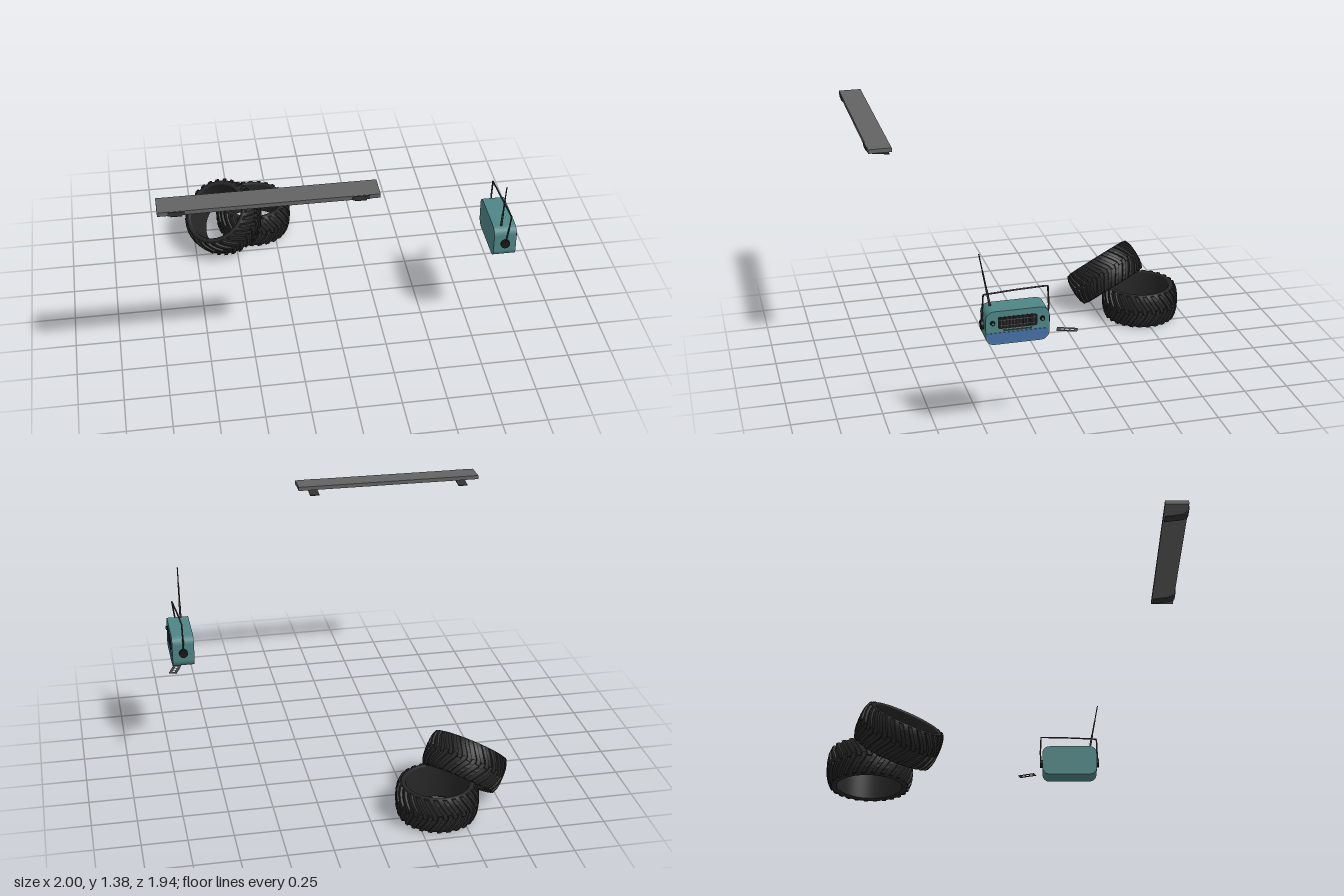
import * as THREE from 'three';
import { mergeGeometries } from 'three/addons/utils/BufferGeometryUtils.js';

const mat = (color, extra = {}) => new THREE.MeshStandardMaterial({ color, ...extra });
const rubber = mat(0x262626);
const lugRubber = mat(0x262626, { flatShading: true });
const grey = mat(0x636363);
const dark = mat(0x333333);
const black = mat(0x181818);
const teal = mat(0x4f8585);
const blue = mat(0x456fa8);

function add(parent, name, geometry, material, x = 0, y = 0, z = 0) {
  const mesh = new THREE.Mesh(geometry, material);
  mesh.name = name;
  mesh.position.set(x, y, z);
  parent.add(mesh);
  return mesh;
}

// Rectangle with its own radius for the top and the bottom corners
function roundedRect(w, h, top, bottom) {
  const s = new THREE.Shape();
  const x = w / 2, y = h / 2;
  s.moveTo(-x + bottom, -y);
  s.lineTo(x - bottom, -y);
  s.absarc(x - bottom, -y + bottom, bottom, -Math.PI / 2, 0);
  s.absarc(x - top, y - top, top, 0, Math.PI / 2);
  s.absarc(-x + top, y - top, top, Math.PI / 2, Math.PI);
  s.absarc(-x + bottom, -y + bottom, bottom, Math.PI, Math.PI * 1.5);
  return s;
}
const slab = (shape, depth) => new THREE.ExtrudeGeometry(shape, { depth, bevelEnabled: false, curveSegments: 8 });

// Outer tyre radius at height y: a gentle barrel with dropping shoulders
const tyreRadius = (y) => 0.218 - 0.018 * Math.pow(Math.abs(y) / 0.1, 3);

// One tread lug swept from y0 up to y1, slanting so that the two halves form a chevron
function lug(angle, y0, y1) {
  const steps = 4, pos = [], idx = [];
  for (let i = 0; i <= steps; i++) {
    const y = y0 + ((y1 - y0) * i) / steps;
    const a = angle - (Math.abs(y) / 0.1) * 0.3;
    const r = tyreRadius(y);
    for (const [da, dr] of [[-0.065, -0.006], [0.065, -0.006], [0.05, 0.012], [-0.05, 0.012]]) {
      pos.push(Math.sin(a + da) * (r + dr), y, Math.cos(a + da) * (r + dr));
    }
  }
  for (let i = 0; i < steps; i++) {
    for (let j = 0; j < 4; j++) {
      const a = i * 4 + j, b = i * 4 + ((j + 1) % 4);
      idx.push(a, a + 4, b, b, a + 4, b + 4);
    }
  }
  const e = steps * 4;
  idx.push(0, 1, 2, 0, 2, 3, e, e + 2, e + 1, e, e + 3, e + 2);
  // Corner order above runs inward, so flip every triangle
  for (let i = 0; i < idx.length; i += 3) [idx[i + 1], idx[i + 2]] = [idx[i + 2], idx[i + 1]];
  const g = new THREE.BufferGeometry();
  g.setAttribute('position', new THREE.Float32BufferAttribute(pos, 3));
  g.setIndex(fixWinding(pos, idx));
  g.computeVertexNormals();
  return g;
}

// Turns each triangle of a convex-sectioned bar away from the bar's middle line
function fixWinding(pos, idx) {
  const at = (i) => new THREE.Vector3().fromArray(pos, i * 3);
  const n = pos.length / 12;
  const middle = (s) => [0, 1, 2, 3].reduce((v, j) => v.add(at(s * 4 + j)), new THREE.Vector3()).divideScalar(4);
  for (let i = 0; i < idx.length; i += 3) {
    const tri = idx.slice(i, i + 3), [a, b, c] = tri.map(at);
    const normal = b.clone().sub(a).cross(c.clone().sub(a));
    const rows = tri.map((k) => Math.floor(k / 4));
    const cap = rows[0] === rows[1] && rows[1] === rows[2];
    const inside = cap ? middle(rows[0] === 0 ? 1 : n - 2) : middle(Math.min(...rows)).lerp(middle(Math.max(...rows)), 0.5);
    const out = a.add(b).add(c).divideScalar(3).sub(inside);
    if (normal.dot(out) < 0) [idx[i + 1], idx[i + 2]] = [idx[i + 2], idx[i + 1]];
  }
  return idx;
}

function makeTyre(name) {
  const tyre = new THREE.Group();
  tyre.name = name;
  const profile = [[0.172, -0.096], [0.178, -0.103], [0.19, -0.105]];
  for (let y = -0.1; y < 0.101; y += 0.025) profile.push([tyreRadius(y), y]);
  profile.push([0.19, 0.105], [0.178, 0.103], [0.172, 0.096], [0.172, -0.096]);
  add(tyre, 'tyreCarcass', new THREE.LatheGeometry(profile.map((p) => new THREE.Vector2(...p)), 64), rubber);
  const lugs = [], count = 26;
  for (let i = 0; i < count; i++) {
    const a = (i / count) * Math.PI * 2;
    lugs.push(lug(a, -0.01, 0.1), lug(a + Math.PI / count, -0.1, 0.01));
  }
  add(tyre, 'treadLugs', mergeGeometries(lugs), lugRubber);
  return tyre;
}

function makeShelf() {
  const shelf = new THREE.Group();
  shelf.name = 'shelf';
  add(shelf, 'shelfBoard', new THREE.BoxGeometry(1.11, 0.023, 0.128), grey, -0.445, 1.379, 0.899);
  // Curved tongue brackets under the board
  const s = new THREE.Shape();
  s.moveTo(0.968, 1.388);
  s.lineTo(0.968, 1.368);
  s.quadraticCurveTo(0.955, 1.345, 0.925, 1.341);
  s.lineTo(0.837, 1.33);
  s.lineTo(0.837, 1.335);
  s.lineTo(0.925, 1.347);
  s.quadraticCurveTo(0.95, 1.352, 0.963, 1.37);
  s.lineTo(0.963, 1.388);
  for (const x of [-0.906, 0.012]) {
    const tongue = add(shelf, 'bracketTongue', slab(s, 0.056), dark, x + 0.028);
    tongue.rotation.y = -Math.PI / 2;
    add(shelf, 'bracketPlate', new THREE.BoxGeometry(0.085, 0.021, 0.006), dark, x, 1.379, 0.965);
  }
  return shelf;
}

// Radio, built facing local +z and turned to face +x
function makeRadio() {
  const radio = new THREE.Group();
  radio.name = 'radio';
  add(radio, 'radioBody', slab(roundedRect(0.335, 0.186, 0.045, 0.045), 0.125), teal, 0, 0, -0.0625);
  const face = 0.061;
  add(radio, 'speakerPanel', slab(roundedRect(0.318, 0.058, 0.004, 0.036), 0.004), blue, 0, -0.056, face);
  add(radio, 'dialPanel', slab(roundedRect(0.208, 0.066, 0.012, 0.012), 0.003), black, 0, 0.027, face);
  for (let i = 0; i < 11; i++) {
    add(radio, 'dialBar', new THREE.BoxGeometry(0.005, 0.05, 0.004), dark, -0.085 + i * 0.017, 0.027, face + 0.003);
  }
  for (const y of [0.012, 0.042]) add(radio, 'dialLine', new THREE.BoxGeometry(0.19, 0.003, 0.005), grey, 0, y, face + 0.003);
  add(radio, 'tuningStrip', new THREE.BoxGeometry(0.15, 0.008, 0.006), dark, 0, -0.017, face);

  for (const side of [-1, 1]) {
    const knob = add(radio, 'knob', new THREE.CylinderGeometry(0.012, 0.014, 0.014, 20), black, side * 0.131, 0.029, face + 0.003);
    knob.rotation.x = Math.PI / 2;
    add(radio, 'knobCap', new THREE.CylinderGeometry(0.006, 0.006, 0.002, 16), teal, side * 0.131, 0.029, face + 0.011).rotation.x = Math.PI / 2;
    const socket = add(radio, 'handleSocket', new THREE.CylinderGeometry(0.025, 0.025, 0.018, 24), black, side * 0.173, 0, 0);
    socket.rotation.z = Math.PI / 2;
  }

  // Slightly twisted carrying handle
  const path = [[-0.176, 0, 0], [-0.173, 0.09, 0.014], [-0.171, 0.17, 0.024], [-0.165, 0.177, 0.025],
    [0, 0.181, 0.013], [0.168, 0.181, 0.003], [0.175, 0.174, 0.003], [0.18, 0.074, 0], [0.176, 0, 0]];
  const curve = new THREE.CatmullRomCurve3(path.map((p) => new THREE.Vector3(...p)), false, 'catmullrom', 0.2);
  add(radio, 'handle', new THREE.TubeGeometry(curve, 90, 0.0045, 8), dark);

  // Telescopic antenna
  const antenna = new THREE.Group();
  antenna.name = 'antenna';
  antenna.position.set(-0.125, 0.085, -0.0175);
  antenna.rotation.z = Math.atan2(0.056, 0.3);
  [0.006, 0.0045, 0.0032].forEach((r, i) => {
    add(antenna, 'antennaSection', new THREE.CylinderGeometry(r, r, 0.103, 12), dark, 0, 0.051 + i * 0.101, 0);
  });
  radio.add(antenna);
  radio.position.set(0.8975, 0.6725, 0.355);
  radio.rotation.y = Math.PI / 2;
  return radio;
}

// Flat slotted tag lying beside the radio
function makeTag() {
  const s = roundedRect(0.046, 0.108, 0.002, 0.002);
  for (const y of [-0.026, 0, 0.026]) {
    const hole = new THREE.Path();
    hole.moveTo(-0.007, y - 0.009);
    hole.lineTo(-0.007, y + 0.009);
    hole.lineTo(0.007, y + 0.009);
    hole.lineTo(0.007, y - 0.009);
    s.holes.push(hole);
  }
  const geometry = new THREE.ShapeGeometry(s).rotateX(-Math.PI / 2).rotateY(-0.36);
  const tag = new THREE.Mesh(geometry, mat(0x444444, { side: THREE.DoubleSide }));
  tag.name = 'slottedTag';
  tag.position.set(0.957, 0.62, 0.092);
  return tag;
}

export function createModel() {
  const model = new THREE.Group();
  model.name = 'garageSet';
  const flat = makeTyre('flatTyre');
  flat.position.set(-0.373, 0.115, -0.743);
  const leaning = makeTyre('leaningTyre');
  leaning.position.set(-0.57, 0.225, -0.577);
  leaning.quaternion.setFromUnitVectors(new THREE.Vector3(0, 1, 0), new THREE.Vector3(-0.48, 0.767, 0.42).normalize());
  model.add(flat, leaning, makeShelf(), makeRadio(), makeTag());
  return model;
}
